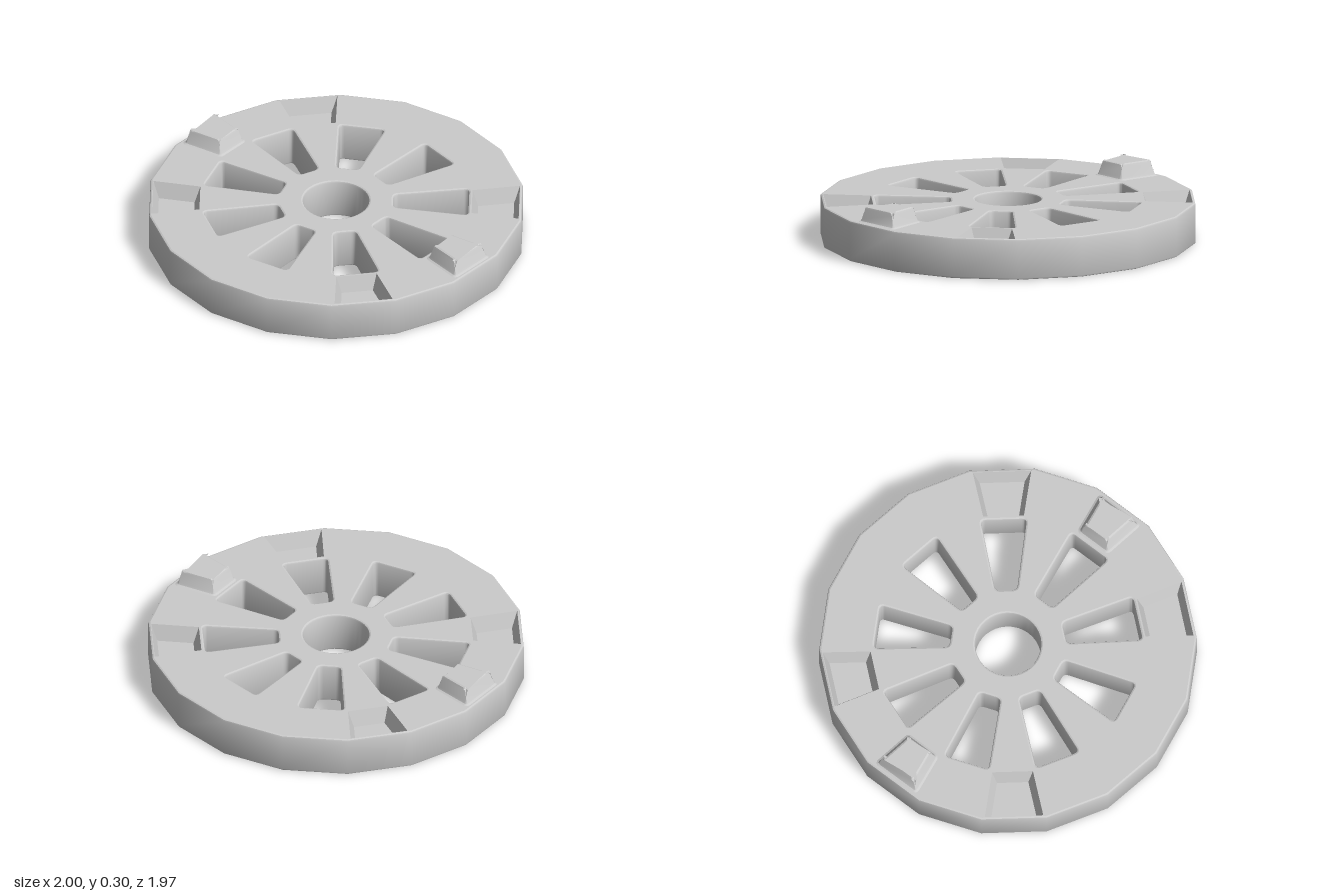
import * as THREE from 'three';
import { toCreasedNormals } from 'three/addons/utils/BufferGeometryUtils.js';

const V = (x, y) => new THREE.Vector2(x, y);
const DEG = Math.PI / 180;
const HEIGHT = 0.22;
const BEVEL = 0.011;
const material = new THREE.MeshStandardMaterial({ color: 0xcccccc });

// Plan outlines are counter-clockwise in (x, -z).
const polygon = (r, n) => Array.from({ length: n }, (_, i) =>
  V(r * Math.cos(i * 2 * Math.PI / n), r * Math.sin(i * 2 * Math.PI / n)));

// Wedge pointing away from the axis, turned by an angle
const wedge = (r0, r1, h0, h1, deg) =>
  [V(-h0, r0), V(h0, r0), V(h1, r1), V(-h1, r1)].map(p => p.rotateAround(V(0, 0), deg * DEG));

// Replace each corner by a short curve
const rounded = (pts, r) => pts.flatMap((p, i) => {
  const prev = pts[(i + pts.length - 1) % pts.length], next = pts[(i + 1) % pts.length];
  const a = p.clone().add(prev.clone().sub(p).setLength(r));
  const b = p.clone().add(next.clone().sub(p).setLength(r));
  return new THREE.QuadraticBezierCurve(a, p, b).getPoints(4);
});

// Mitred offset; positive grows the outline
const offset = (pts, d) => pts.map((p, i) => {
  const prev = pts[(i + pts.length - 1) % pts.length], next = pts[(i + 1) % pts.length];
  const e = p.clone().sub(prev).normalize(), f = next.clone().sub(p).normalize();
  const n = V(e.y + f.y, -e.x - f.x).normalize();
  return p.clone().addScaledVector(n, d / (n.x * f.y - n.y * f.x));
});

// Wall through levels [offset, height]; faces out going up, in going down
function wall(pts, levels) {
  const n = pts.length, pos = [], index = [];
  levels.forEach(([d, y], k) => {
    offset(pts, d).forEach(p => pos.push(p.x, y, -p.y));
    if (k === 0) return;
    for (let i = 0; i < n; i++) {
      const j = (i + 1) % n, a = (k - 1) * n, b = k * n;
      index.push(a + i, a + j, b + j, a + i, b + j, b + i);
    }
  });
  const g = new THREE.BufferGeometry();
  g.setAttribute('position', new THREE.Float32BufferAttribute(pos, 3));
  g.setIndex(index);
  return toCreasedNormals(g, 0.6);
}

// Flat face with holes, facing up or down
function cap(outline, holes, y, down = false) {
  const shape = new THREE.Shape(outline);
  holes.forEach(h => shape.holes.push(new THREE.Path(h)));
  const g = new THREE.ShapeGeometry(shape).rotateX(-Math.PI / 2);
  if (down) {
    const idx = g.index.array;
    for (let i = 0; i < idx.length; i += 3) [idx[i], idx[i + 1]] = [idx[i + 1], idx[i]];
    g.computeVertexNormals();
  }
  return g.translate(0, y, 0);
}

function part(name, ...geometries) {
  const group = new THREE.Group();
  group.name = name;
  geometries.forEach(g => {
    const mesh = new THREE.Mesh(g, material);
    mesh.name = name;
    group.add(mesh);
  });
  return group;
}

export function createModel() {
  const model = new THREE.Group();
  model.name = 'spokedDisc';

  const rim = polygon(1, 18);
  const bore = polygon(0.174, 36);
  const windows = Array.from({ length: 9 }, (_, k) =>
    rounded(wedge(0.305, 0.7, 0.058, 0.121, 180 + 40 * k), 0.025));
  const pockets = [40, -40, 140, -140].map(a => wedge(0.72, 0.97, 0.108, 0.155, a));

  // Rounded edge profile shared by rim, windows and bore
  const edge = s => [
    [s * BEVEL, 0], [s * BEVEL * 0.3, BEVEL * 0.3], [0, BEVEL],
    [0, HEIGHT - BEVEL], [s * BEVEL * 0.3, HEIGHT - BEVEL * 0.3], [s * BEVEL, HEIGHT],
  ];

  // Disc faces and outer rim
  const openings = [bore, ...windows].map(p => offset(p, BEVEL));
  const face = offset(rim, -BEVEL);
  model.add(part('topFace', cap(face, [...openings, ...pockets], HEIGHT)));
  model.add(part('bottomFace', cap(face, openings, 0, true)));
  model.add(part('outerRim', wall(rim, edge(-1))));

  // Through openings
  model.add(part('centreBore', wall(bore, edge(1).reverse())));
  windows.forEach(w => model.add(part('spokeWindow', wall(w, edge(1).reverse()))));

  // Tapered sockets near the rim
  const floorY = HEIGHT - 0.085;
  pockets.forEach(p => model.add(part('socket',
    wall(p, [[0, HEIGHT], [-0.03, floorY]]),
    cap(offset(p, -0.03), [], floorY))));

  // Raised locating lugs at front and back, flared at the foot
  for (const a of [0, 180]) {
    const base = rounded(wedge(0.737, 0.95, 0.09, 0.124, a), 0.012);
    model.add(part('lug',
      wall(base, [[0.016, HEIGHT], [0.005, 0.225], [0, 0.235],
        [-0.018, 0.285], [-0.023, 0.296], [-0.032, 0.3]]),
      cap(offset(base, -0.032), [], 0.3)));
  }
  return model;
}
